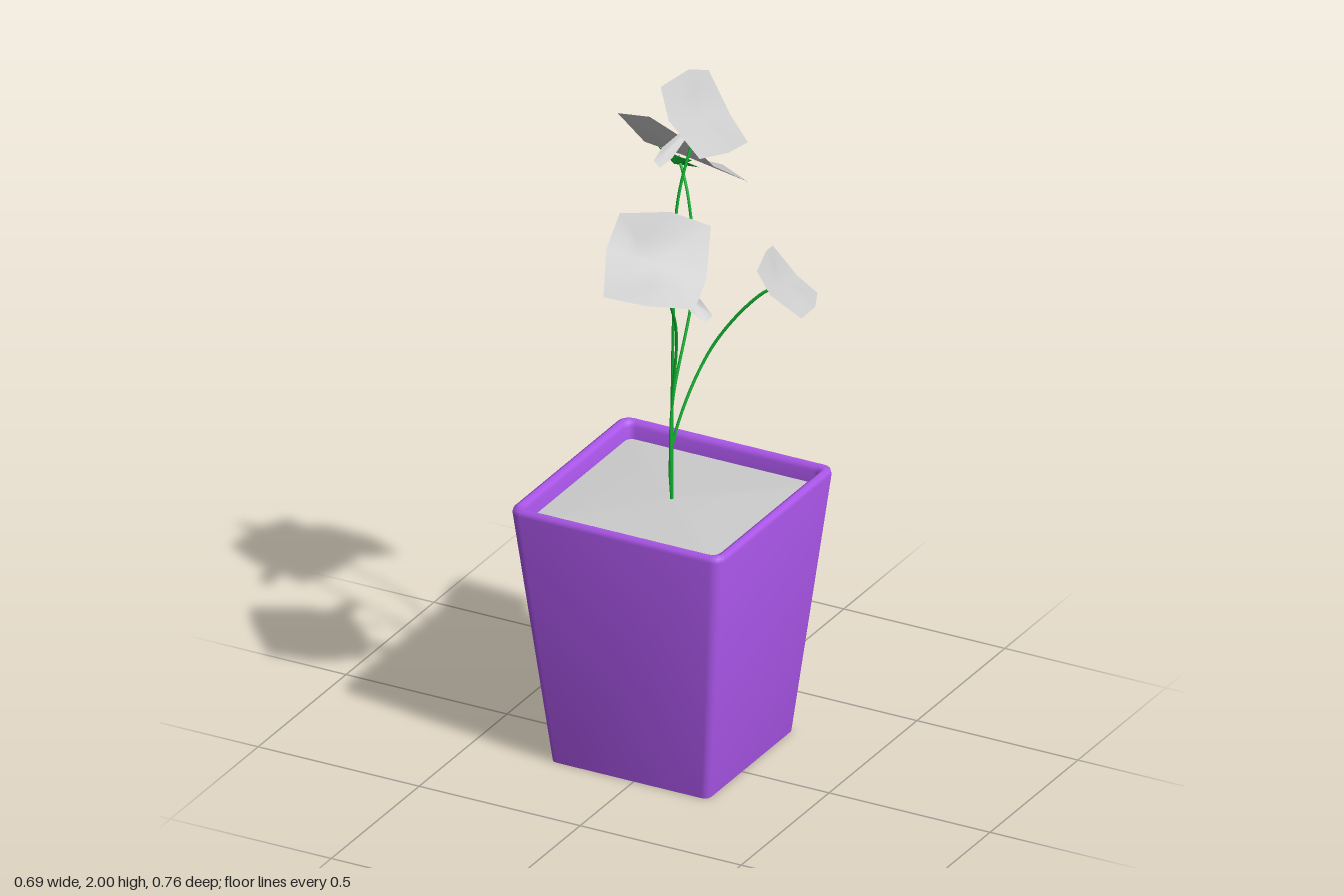
import * as THREE from 'three';
import { toCreasedNormals } from 'three/addons/utils/BufferGeometryUtils.js';

const mat = (color, side = THREE.FrontSide) => new THREE.MeshStandardMaterial({ color, side });
const PURPLE = mat(0xab56ea), GREEN = mat(0x11b833, THREE.DoubleSide);
const SOIL = mat(0xcccccc), PETAL = mat(0xcccccc, THREE.DoubleSide);
const V = (p) => new THREE.Vector3(...p);

function mesh(name, geometry, material) {
  const m = new THREE.Mesh(geometry, material);
  m.name = name;
  return m;
}

function surface(points, index) {
  const g = new THREE.BufferGeometry().setFromPoints(points);
  g.setIndex(index);
  g.computeVertexNormals();
  return g;
}

// Rounded square cross-section of half-width h and corner radius r
function squareRing(h, y, r) {
  const pts = [], steps = 4;
  for (let c = 0; c < 4; c++) {
    const cx = (c === 0 || c === 3 ? 1 : -1) * (h - r), cz = (c < 2 ? 1 : -1) * (h - r);
    for (let i = 0; i <= steps; i++) {
      const a = (c + i / steps) * Math.PI / 2;
      pts.push(new THREE.Vector3(cx + r * Math.cos(a), y, cz + r * Math.sin(a)));
    }
  }
  return pts;
}

// Skin over square rings, with a closing fan at the bottom or the top
function squareLoft(rings, capBottom) {
  const pts = rings.flatMap((r) => squareRing(...r)), index = [];
  const n = pts.length / rings.length, capRing = capBottom ? 0 : rings.length - 1;
  const c = pts.push(new THREE.Vector3(0, rings[capRing][1], 0)) - 1;
  for (let i = 0; i < n; i++) {
    const j = (i + 1) % n;
    for (let k = 0; k < rings.length - 1; k++) {
      const a = k * n + i, b = k * n + j;
      index.push(a, a + n, b, b, a + n, b + n);
    }
    index.push(c, capRing * n + (capBottom ? i : j), capRing * n + (capBottom ? j : i));
  }
  return toCreasedNormals(surface(pts, index), 1.2);
}

// Sheet from an outline, a half-way ring and a centre
function sheet(rim, center) {
  const n = rim.length, index = [];
  const mid = rim.map((p) => p.clone().lerp(center, 0.5));
  for (let i = 0; i < n; i++) {
    const j = (i + 1) % n;
    index.push(i, n + i, j, j, n + i, n + j, n + i, 2 * n, n + j);
  }
  return surface([...rim, ...mid, center], index);
}

// Bloom of unit radius: a saddle-shaped, slightly squared octagon with a sunken centre
const HEART = new THREE.Vector3(0, 0, -0.12);
function bloomGeometry() {
  const rim = [];
  for (let k = 0; k < 8; k++) {
    const t = k * Math.PI / 4, a = t + (k % 2 ? 0.06 : -0.06);
    rim.push(new THREE.Vector3(
      Math.sin(a) - 0.085 * Math.sin(3 * t),
      Math.cos(a) + 0.13 * Math.cos(3 * t),
      -0.13 * Math.sin(2 * t)));
  }
  return sheet(rim, HEART);
}

// Five-pointed green star cupping the underside of the bloom
function calyxGeometry() {
  const pts = [new THREE.Vector3(0, 0, -0.32)], index = [];
  for (let i = 0; i < 10; i++) {
    const a = i / 10 * Math.PI * 2, r = i % 2 ? 0.18 : 0.38;
    pts.push(new THREE.Vector3(r * Math.cos(a), r * Math.sin(a), i % 2 ? -0.2 : -0.16));
    index.push(0, (i + 1) % 10 + 1, i + 1);
  }
  return toCreasedNormals(surface(pts, index), 0.3);
}

// Narrow drooping petal that leaves the heart at the given angle
function smallPetalGeometry(degrees) {
  const a = THREE.MathUtils.degToRad(degrees);
  const at = (t, w) => new THREE.Vector3(
    1.25 * t * Math.sin(a) + w * Math.cos(a),
    1.25 * t * Math.cos(a) - w * Math.sin(a),
    -0.2 - 0.45 * t);
  const half = [[0.1, 0.04], [0.75, 0.14], [1, 0.09]];
  const rim = [...half.map(([t, w]) => at(t, -w)), ...half.reverse().map(([t, w]) => at(t, w))];
  const fold = at(0.65, 0);
  fold.z -= 0.06;
  return sheet(rim, fold);
}

// Bloom centre, its two half-axes across the face, stem bends and small petal angles
const FLOWERS = [
  { name: 'rearLeftFlower', at: [-0.098, 1.709, -0.263], up: [-0.157, 0.072, 0.041], side: [-0.062, -0.08, -0.1],
    stem: [[-0.015, 1.03, -0.05], [-0.012, 1.36, -0.167], [-0.05, 1.6, -0.205]], small: [] },
  { name: 'frontFlower', at: [0.09, 1.622, 0.227], up: [0.084, 0.049, -0.13], side: [0.119, -0.096, 0.037],
    stem: [[-0.015, 1.03, -0.05], [0.025, 1.3, 0], [0.052, 1.54, 0.15]], small: [73, -10] },
  { name: 'topFlower', at: [0.043, 1.903, -0.127], up: [-0.055, 0.045, -0.133], side: [0.088, -0.092, -0.066],
    stem: [[-0.015, 1.03, -0.05], [-0.002, 1.35, -0.036], [0, 1.66, -0.055]], small: [201] },
  { name: 'lowRightFlower', at: [0.251, 1.402, -0.218], up: [-0.076, 0.044, -0.078], side: [0.045, -0.06, -0.08],
    stem: [[-0.015, 0.91, -0.05], [0.05, 1.18, -0.155], [0.19, 1.365, -0.2]], small: [] },
];
const STEM_BASE = [-0.015, 0.72, -0.05];

function flower({ name, at, up, side, stem, small }) {
  const group = new THREE.Group(), head = new THREE.Group();
  group.name = name;
  head.name = 'flowerHead';

  // Head frame: x sideways, y up along the face, z out of the face
  const width = V(side).length(), height = V(up).length();
  const x = V(side).normalize();
  const z = x.clone().cross(V(up)).normalize();
  const y = z.clone().cross(x);
  head.quaternion.setFromRotationMatrix(new THREE.Matrix4().makeBasis(x, y, z));
  head.position.set(...at);
  head.scale.set(width, height, (width + height) / 2);
  head.add(mesh('bloom', bloomGeometry(), PETAL), mesh('calyx', calyxGeometry(), GREEN));
  small.forEach((angle) => head.add(mesh('smallPetal', smallPetalGeometry(angle), PETAL)));

  // Stem ends just under the heart of the bloom
  head.updateMatrix();
  const tip = new THREE.Vector3(0, 0, -0.16).applyMatrix4(head.matrix);
  const path = new THREE.CatmullRomCurve3([V(STEM_BASE), ...stem.map(V), tip]);
  group.add(head, mesh('stem', new THREE.TubeGeometry(path, 40, 0.0045, 6), GREEN));
  return group;
}

export function createModel() {
  const model = new THREE.Group();
  model.name = 'pottedFlowers';

  // Tapered square pot with a rounded lip, filled with slightly heaped soil
  const pot = mesh('pot', squareLoft([
    [0.245, 0, 0.02], [0.33, 0.77, 0.035], [0.327, 0.782, 0.033], [0.316, 0.788, 0.03],
    [0.304, 0.782, 0.026], [0.3, 0.77, 0.024], [0.295, 0.72, 0.02],
  ], true), PURPLE);
  const soil = mesh('soil', squareLoft([[0.297, 0.735, 0.02], [0.03, 0.752, 0.02]], false), SOIL);
  for (const part of [pot, soil]) {
    part.position.set(-0.015, 0, -0.05);
    model.add(part);
  }

  FLOWERS.forEach((f) => model.add(flower(f)));
  return model;
}
